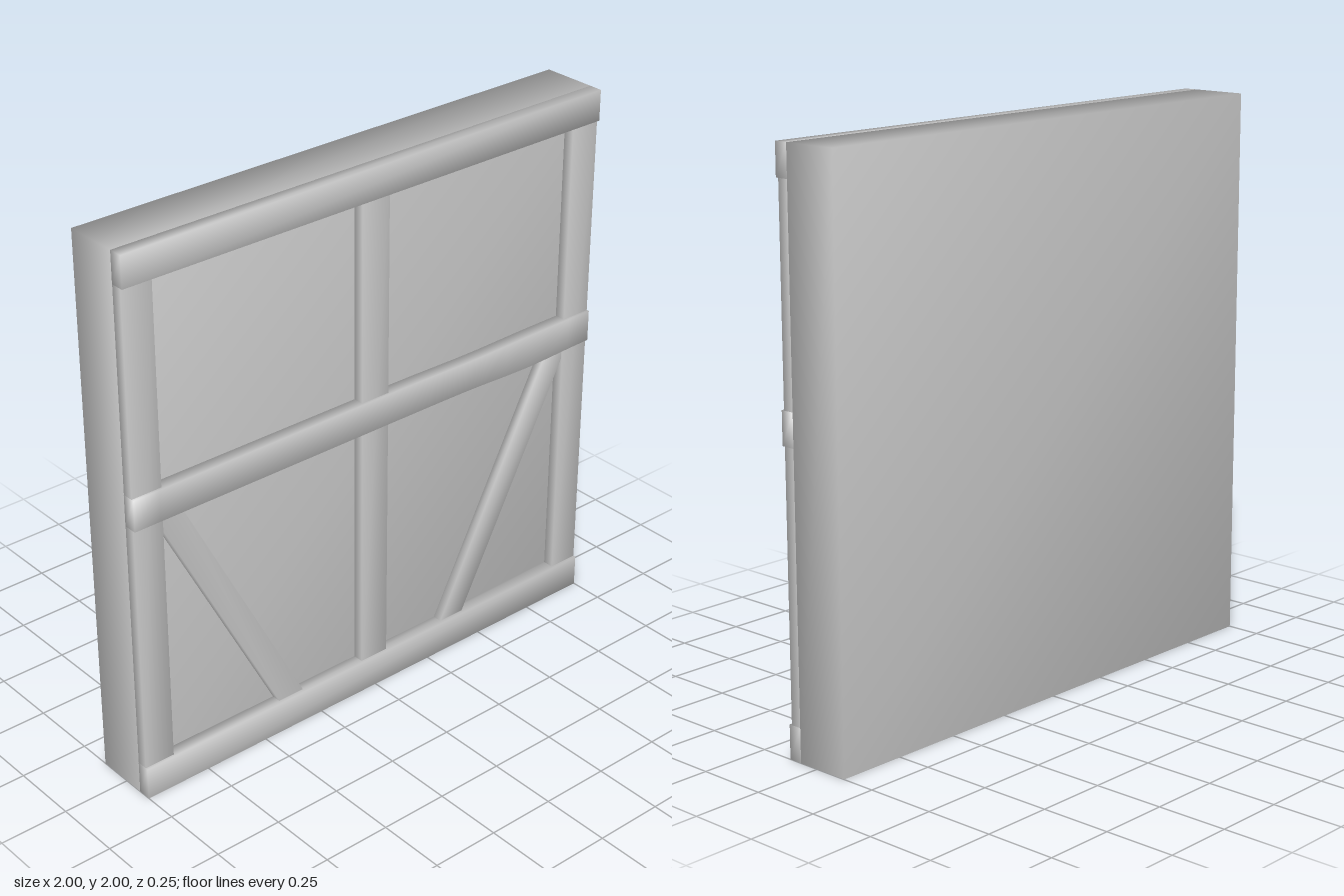
import * as THREE from 'three';
import { mergeVertices } from 'three/addons/utils/BufferGeometryUtils.js';

const grey = new THREE.MeshStandardMaterial({ color: 0xcccccc });
const FACE = 0.075; // front face of the panel

// Box with shared corners, so the shading rolls softly over its edges
function softBox(w, h, d, segments = 1, bend) {
  let g = new THREE.BoxGeometry(w, h, d, segments, 1, 1);
  g.deleteAttribute('uv');
  g.deleteAttribute('normal');
  g = mergeVertices(g);
  if (bend) {
    const p = g.attributes.position;
    for (let i = 0; i < p.count; i++) p.setY(i, p.getY(i) + bend(p.getX(i), p.getY(i)));
  }
  g.computeVertexNormals();
  return g;
}

export function createModel() {
  const model = new THREE.Group();
  const add = (name, geometry, x, y, z, turn = 0) => {
    const mesh = new THREE.Mesh(geometry, grey);
    mesh.name = name;
    mesh.position.set(x, y, z);
    mesh.rotation.z = turn;
    model.add(mesh);
  };

  // Thick wall panel
  add('panel', softBox(2, 2, 0.2), 0, 1, FACE - 0.1);

  // Upright posts, slightly shallower than the rails
  for (const [name, x] of [['rightPost', -0.942], ['middlePost', 0], ['leftPost', 0.942]]) {
    add(name, softBox(0.115, 1.996, 0.04), x, 1, FACE + 0.02);
  }

  // Straight rails at the top and bottom
  add('topRail', softBox(2, 0.112, 0.05), 0, 1.944, FACE + 0.025);
  add('bottomRail', softBox(2, 0.12, 0.05), 0, 0.06, FACE + 0.025);

  // Middle rail, hand-hewn with a slight sag on its left half
  const sag = (x, y) => (y < 0 ? -0.01 : -0.005) * Math.exp(-(((x - (y < 0 ? 0.7 : 0.45)) / 0.2) ** 2));
  add('middleRail', softBox(2, 0.115, 0.05, 20, sag), 0, 1.103, FACE + 0.025);

  // Diagonal braces from the middle rail down towards the centre
  const outer = new THREE.Vector2(0.868, 1.07), inner = new THREE.Vector2(0.344, 0.06);
  const run = outer.clone().sub(inner);
  for (const side of [-1, 1]) {
    add(side < 0 ? 'rightBrace' : 'leftBrace', softBox(0.093, run.length(), 0.035),
      side * (outer.x + inner.x) / 2, (outer.y + inner.y) / 2, FACE + 0.0175,
      -side * Math.atan2(run.x, run.y));
  }
  return model;
}
